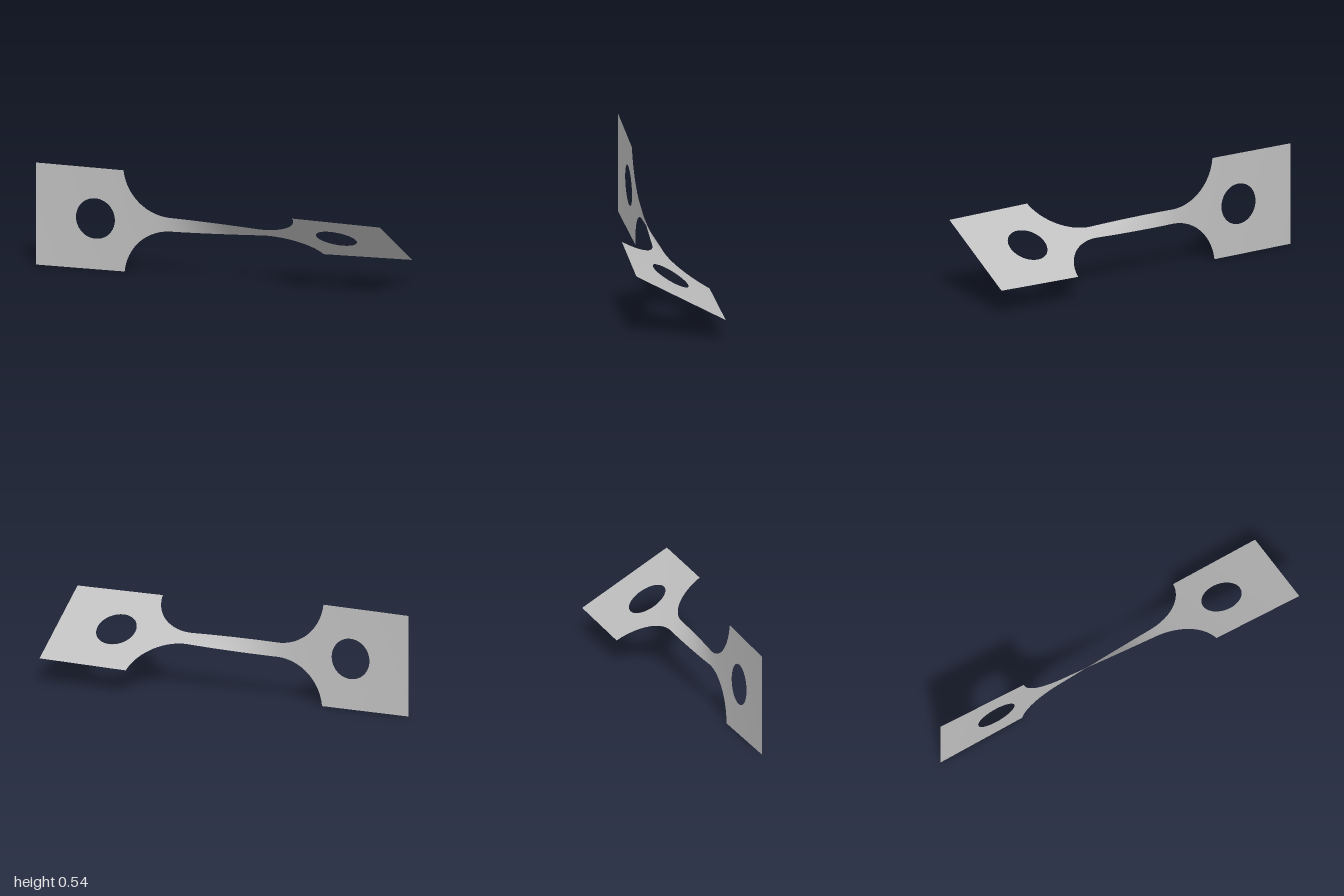
import * as THREE from 'three';

const HALF = 0.2715;           // half width of the end plates, also the axis height
const NECK = 0.0375;           // half width of the neck
const END = 1, SHOULDER = 0.51, NECK_END = 0.25;
const HOLE_X = 0.669, HOLE_R = 0.108;
const SPAN = SHOULDER - NECK_END, RISE = HALF - NECK;
const FILLET = (SPAN * SPAN + RISE * RISE) / (2 * RISE);

// twist in degrees: almost none in the plates, nearly all in the neck, 60 in total
function twist(x) {
  const a = Math.abs(x);
  let left;                    // twist between this section and the nearer end
  if (a >= SHOULDER) left = 1.9 * (END - a) / (END - SHOULDER);
  else if (a >= NECK_END) {
    const t = (SHOULDER - a) / SPAN;
    left = 1.9 + t + 4.1 * t ** 4;
  } else left = 30 - 23 * a / NECK_END;
  return x < 0 ? left : 60 - left;
}

// puts a point of the flat outline on the twisted sheet
function place(x, v) {
  const a = THREE.MathUtils.degToRad(twist(x));
  return [x, HALF + v * Math.cos(a), v * Math.sin(a)];
}

// smooth surface from an (n + 1) x (m + 1) grid of points
function sheet(name, n, m, point, material) {
  const pos = [], index = [];
  for (let i = 0; i <= n; i++)
    for (let j = 0; j <= m; j++) pos.push(...place(...point(i, j)));
  for (let i = 0; i < n; i++)
    for (let j = 0; j < m; j++) {
      const a = i * (m + 1) + j, b = a + m + 1;
      index.push(a, b, b + 1, a, b + 1, a + 1);
    }
  const g = new THREE.BufferGeometry();
  g.setAttribute('position', new THREE.Float32BufferAttribute(pos, 3));
  g.setIndex(index);
  g.computeVertexNormals();
  const mesh = new THREE.Mesh(g, material);
  mesh.name = name;
  return mesh;
}

// rectangular plate around a round hole, in rings from the hole to the edge
function plate(name, side, material) {
  const corners = [[-END, -HALF], [-SHOULDER, -HALF], [-SHOULDER, HALF], [-END, HALF]];
  const per = 20;
  return sheet(name, 8, per * 4, (i, j) => {
    const k = Math.floor(j / per) % 4, f = (j % per) / per;
    const [ax, ay] = corners[k], [bx, by] = corners[(k + 1) % 4];
    const dx = ax + (bx - ax) * f + HOLE_X, dy = ay + (by - ay) * f;
    const inner = HOLE_R / Math.hypot(dx, dy);
    const s = inner + (1 - inner) * i / 8;
    return [-side * (-HOLE_X + dx * s), -side * dy * s];
  }, material);
}

export function createModel() {
  const grey = new THREE.MeshStandardMaterial({ color: 0xc0c0c0, side: THREE.DoubleSide });
  grey.name = 'plain grey';

  // stations along the neck and its two round fillets: [x, half width]
  const stations = [];
  const maxAngle = Math.asin(SPAN / FILLET), steps = 24;
  const fillet = (a) => [NECK_END + FILLET * Math.sin(a), NECK + FILLET * (1 - Math.cos(a))];
  for (let i = 0; i <= steps; i++) {
    const [x, w] = fillet(maxAngle * (1 - i / steps));
    stations.push([-x, w]);
  }
  for (let i = 1; i < 40; i++) stations.push([-NECK_END + 2 * NECK_END * i / 40, NECK]);
  for (let i = 0; i <= steps; i++) stations.push(fillet(maxAngle * i / steps));

  const group = new THREE.Group();
  group.name = 'twistedTestStrip';
  group.add(
    plate('rightEndPlate', -1, grey),
    plate('leftEndPlate', 1, grey),
    sheet('twistedNeck', stations.length - 1, 10,
      (i, j) => [stations[i][0], stations[i][1] * (j / 5 - 1)], grey),
  );
  return group;
}
